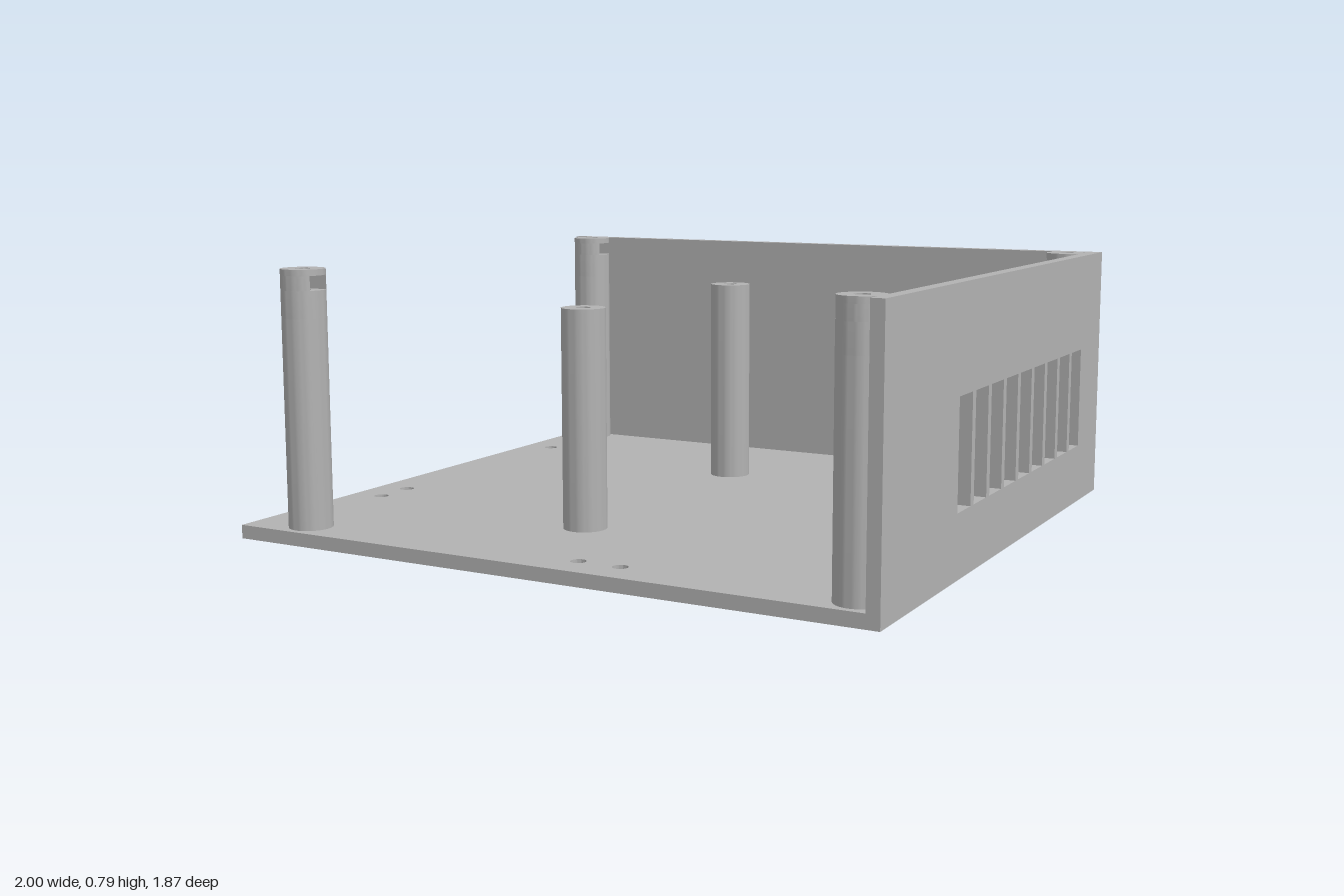
import * as THREE from 'three';
import { toCreasedNormals } from 'three/addons/utils/BufferGeometryUtils.js';

const W = 1, D = 0.935, T = 0.04, H = 0.79, WALL = 0.038;
const POST_R = 0.064, HOLE_R = 0.021;

const rectangle = (Type, x0, y0, x1, y1) => new Type([
  new THREE.Vector2(x0, y0), new THREE.Vector2(x1, y0),
  new THREE.Vector2(x1, y1), new THREE.Vector2(x0, y1)]);

const circle = (Type, x, y, r) => {
  const c = new Type();
  c.absarc(x, y, r, 0, Math.PI * 2, false);
  return c;
};

const extrude = (shape, depth) => toCreasedNormals(
  new THREE.ExtrudeGeometry(shape, { depth, bevelEnabled: false, curveSegments: 24 }), 0.6);

// Horizontal slab: shape x is x, shape y is -z
const slab = (shape, y0, y1) => extrude(shape, y1 - y0).rotateX(-Math.PI / 2).translate(0, y0, 0);

const disc = (hole) => {
  const s = circle(THREE.Shape, 0, 0, POST_R);
  if (hole) s.holes.push(circle(THREE.Path, 0, 0, HOLE_R));
  return s;
};

// Post section with a nut slot open towards +x
const slottedDisc = () => {
  const w = 0.034, a = Math.asin(w / POST_R);
  const s = new THREE.Shape();
  s.absarc(0, 0, POST_R, a, Math.PI * 2 - a, false);
  s.lineTo(-w, -w);
  s.lineTo(-w, w);
  s.closePath();
  return s;
};

export function createModel() {
  const model = new THREE.Group();
  model.name = 'enclosureHalf';
  const grey = new THREE.MeshStandardMaterial({ color: 0xb2b2b2 });
  grey.name = 'grey plastic';

  const add = (name, geometry, parent = model) => {
    const mesh = new THREE.Mesh(geometry, grey);
    mesh.name = name;
    parent.add(mesh);
    return mesh;
  };

  // Floor with mounting holes and wider screw recesses below the inner posts
  const innerPosts = [[-0.1, -0.425], [-0.1, 0.488]];
  const mountHoles = [[-0.902, -0.68], [-0.902, -0.552], [-0.902, 0.29], [-0.902, 0.418],
    [0.094, 0.832], [0.224, 0.832]];
  const floor = rectangle(THREE.Shape, -W, -D, W, D);
  mountHoles.forEach(([x, z]) => floor.holes.push(circle(THREE.Path, x, -z, 0.022)));
  innerPosts.forEach(([x, z]) => floor.holes.push(circle(THREE.Path, x, -z, 0.037)));
  add('floor', slab(floor, 0, T));

  // Back wall
  add('backWall', new THREE.BoxGeometry(2 * W, H - T, WALL)
    .translate(0, (H + T) / 2, -D + WALL / 2));

  // Side wall with a row of vent slots
  const side = rectangle(THREE.Shape, -D, T, D - WALL, H);
  for (let i = 0; i < 9; i++) {
    const s = -0.412 + i * 0.1288;
    side.holes.push(rectangle(THREE.Path, s, 0.183, s + 0.103, 0.493));
  }
  add('ventedSideWall', extrude(side, WALL).rotateY(Math.PI / 2).translate(W - WALL, 0, 0));

  // Inner posts, bored right through
  innerPosts.forEach(([x, z]) => {
    add('innerPost', slab(disc(true), T, 0.68)).position.set(x, 0, z);
  });

  // Corner posts with a blind screw hole and a nut slot facing inwards
  [[-0.902, -0.848], [0.908, -0.848], [0.908, 0.852], [-0.81, 0.852]].forEach(([x, z]) => {
    const post = new THREE.Group();
    post.name = 'cornerPost';
    add('postShaft', slab(disc(false), T, 0.65), post);
    add('postBore', slab(disc(true), 0.65, 0.73), post);
    add('nutSlot', slab(slottedDisc(), 0.73, 0.772), post);
    add('postTop', slab(disc(true), 0.772, H), post);
    post.position.set(x, 0, z);
    if (x > 0) post.rotation.y = Math.PI;
    model.add(post);
  });

  return model;
}
